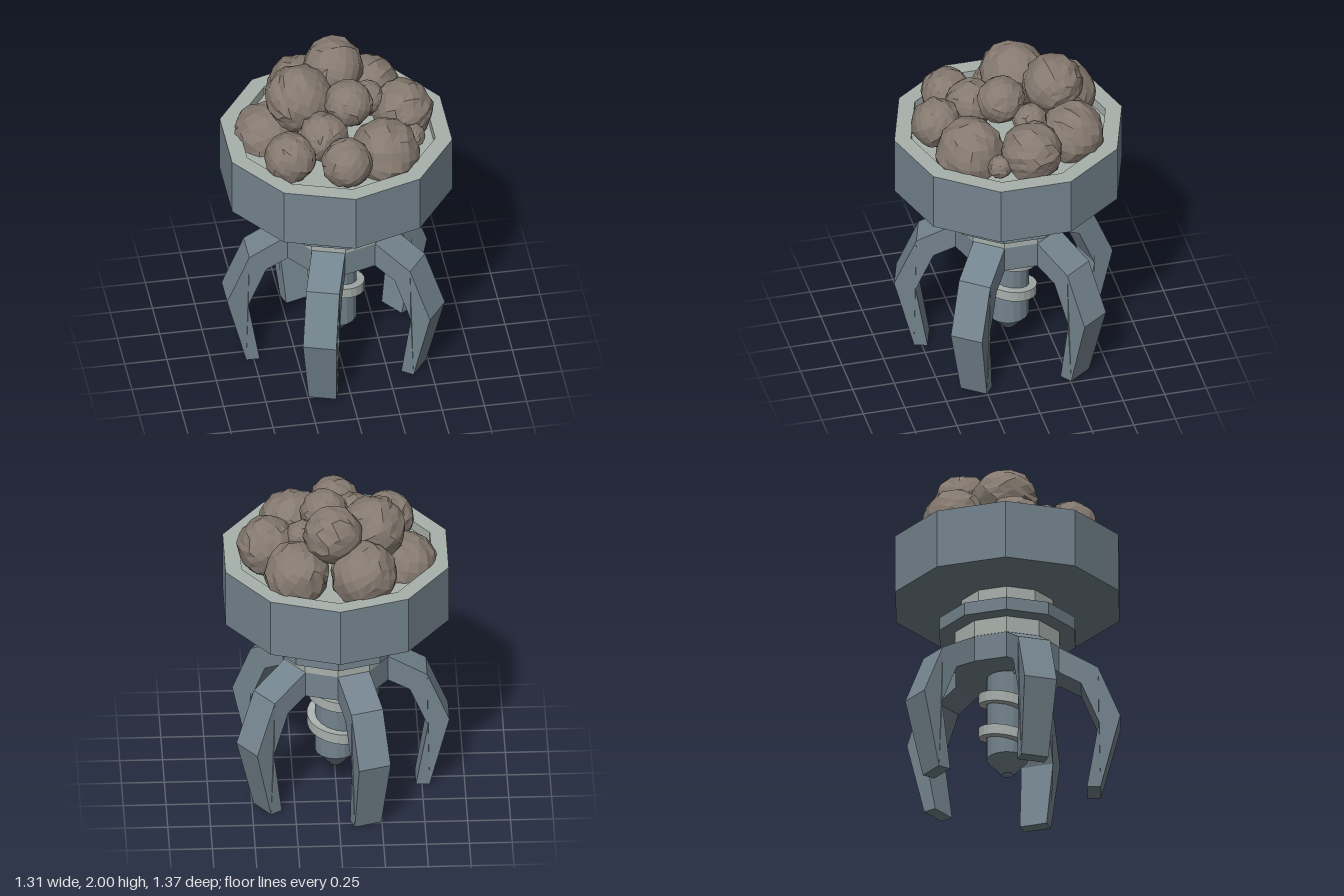
import * as THREE from 'three';
import { mergeVertices } from 'three/addons/utils/BufferGeometryUtils.js';

const SIDES = 10;
const paint = (color) => new THREE.MeshStandardMaterial({ color, flatShading: true });
const steel = paint(0x74848e);
const pale = paint(0xa8b0ac);
const stone = paint(0x857a70);

function add(parent, name, geometry, material) {
  const mesh = new THREE.Mesh(geometry, material);
  mesh.name = name;
  parent.add(mesh);
  return mesh;
}

// Ring of revolution from [radius, y] pairs, listed bottom to top on the outside
const lathe = (points, sides = SIDES) =>
  new THREE.LatheGeometry(points.map(([r, y]) => new THREE.Vector2(r, y)), sides);

// Claw arm: extruded side profile, narrowing towards the tip
function armGeometry() {
  const profile = [[0.28, 0.89], [0.3, 0.89], [0.53, 0.76], [0.66, 0.45], [0.545, 0],
    [0.465, 0], [0.535, 0.41], [0.43, 0.66], [0.3, 0.73], [0.28, 0.73]];
  const shape = new THREE.Shape(profile.map(([x, y]) => new THREE.Vector2(x, y)));
  const geo = new THREE.ExtrudeGeometry(shape, { depth: 0.196, bevelEnabled: false });
  geo.translate(0, 0, -0.098);
  const p = geo.attributes.position;
  for (let i = 0; i < p.count; i++) if (p.getY(i) < 0.01) p.setZ(i, p.getZ(i) * 0.84);
  return geo;
}

// Screw thread: a rectangular section swept down a helix
function threadGeometry() {
  const start = -2.5 * Math.PI, end = 2 * Math.PI - 0.26, steps = 54;
  const section = [[0.1, -0.032], [0.168, -0.032], [0.168, 0.032], [0.1, 0.032]];
  const pos = [], index = [];
  for (let i = 0; i <= steps; i++) {
    const a = start + (end - start) * i / steps;
    const y = 0.48 - 0.215 * a / (2 * Math.PI);
    for (const [r, h] of section) pos.push(r * Math.sin(a), y + h, r * Math.cos(a));
    if (i === steps) break;
    for (let k = 0; k < 4; k++) {
      const a0 = i * 4 + k, a1 = i * 4 + (k + 1) % 4;
      index.push(a0, a0 + 4, a1, a1, a0 + 4, a1 + 4);
    }
  }
  const e = steps * 4;
  index.push(0, 1, 2, 0, 2, 3, e, e + 2, e + 1, e, e + 3, e + 2);
  const geo = new THREE.BufferGeometry();
  geo.setAttribute('position', new THREE.Float32BufferAttribute(pos, 3));
  geo.setIndex(index);
  geo.computeVertexNormals();
  return geo;
}

// Boulder: a subdivided cube rounded to a lumpy ball
function rockGeometry(radius, seed) {
  let state = seed * 7919 + 17;
  const rand = () => (state = (state * 16807) % 2147483647) / 2147483647;
  for (let i = 0; i < 5; i++) rand();
  let geo = new THREE.BoxGeometry(2, 2, 2, 5, 5, 5);
  geo.deleteAttribute('normal');
  geo.deleteAttribute('uv');
  geo = mergeVertices(geo);
  const p = geo.attributes.position, v = new THREE.Vector3();
  for (let i = 0; i < p.count; i++) {
    v.fromBufferAttribute(p, i);
    v.set(Math.tan(v.x * 0.785), Math.tan(v.y * 0.785), Math.tan(v.z * 0.785)).normalize();
    v.multiplyScalar(radius * (0.95 + 0.1 * rand()));
    p.setXYZ(i, v.x, v.y, v.z);
  }
  geo.rotateX(rand() * 3).rotateY(rand() * 3).rotateZ(rand() * 3);
  geo.computeVertexNormals();
  return geo;
}

export function createModel() {
  const model = new THREE.Group();
  model.name = 'clawDrillWithRocks';

  // Ten-sided bowl: steel shell, pale rim and recessed floor
  add(model, 'bowlShell', lathe([[0, 1.2], [0.685, 1.2], [0.685, 1.56]]), steel);
  add(model, 'bowlRim', lathe([[0.685, 1.56], [0.585, 1.56], [0.585, 1.5], [0, 1.5]]), pale);

  // Neck stack below the bowl
  const stack = [
    ['upperNeck', 0.28, 1.07, 1.2, pale],
    ['flange', 0.415, 0.99, 1.07, steel],
    ['lowerNeck', 0.32, 0.89, 0.99, pale],
    ['hub', 0.318, 0.73, 0.89, steel],
  ];
  for (const [name, r, y0, y1, material] of stack) {
    add(model, name, lathe([[0, y0], [r, y0], [r, y1], [0, y1]]), material);
  }

  // Five claw arms on alternate faces of the hub
  const arm = armGeometry();
  for (let i = 0; i < 5; i++) {
    add(model, 'clawArm' + (i + 1), arm, steel).rotation.y = Math.PI + i * Math.PI * 0.4;
  }

  // Central drill
  add(model, 'drillShaft', lathe([[0, 0.115], [0.035, 0.115], [0.122, 0.21], [0.122, 0.74]], 16), steel);
  add(model, 'drillThread', threadGeometry(), pale);

  // Heap of boulders: x, y, z, radius
  const heap = new THREE.Group();
  heap.name = 'rockHeap';
  const rocks = [
    [-0.15, 1.62, -0.36, 0.195], [0.24, 1.61, -0.32, 0.19], [0.03, 1.83, -0.26, 0.172],
    [-0.4, 1.5, -0.08, 0.2], [-0.21, 1.76, -0.08, 0.195], [0.4, 1.63, -0.04, 0.178],
    [0.065, 1.79, 0.06, 0.14], [0.2, 1.71, -0.08, 0.1], [0.24, 1.58, 0.29, 0.2],
    [-0.01, 1.64, 0.43, 0.147], [-0.32, 1.61, 0.29, 0.15], [-0.11, 1.67, 0.2, 0.145],
    [0.43, 1.58, 0.16, 0.07],
  ];
  rocks.forEach(([x, y, z, r], i) => {
    add(heap, 'rock' + (i + 1), rockGeometry(r, i + 1), stone).position.set(x, y, z);
  });
  model.add(heap);

  return model;
}
